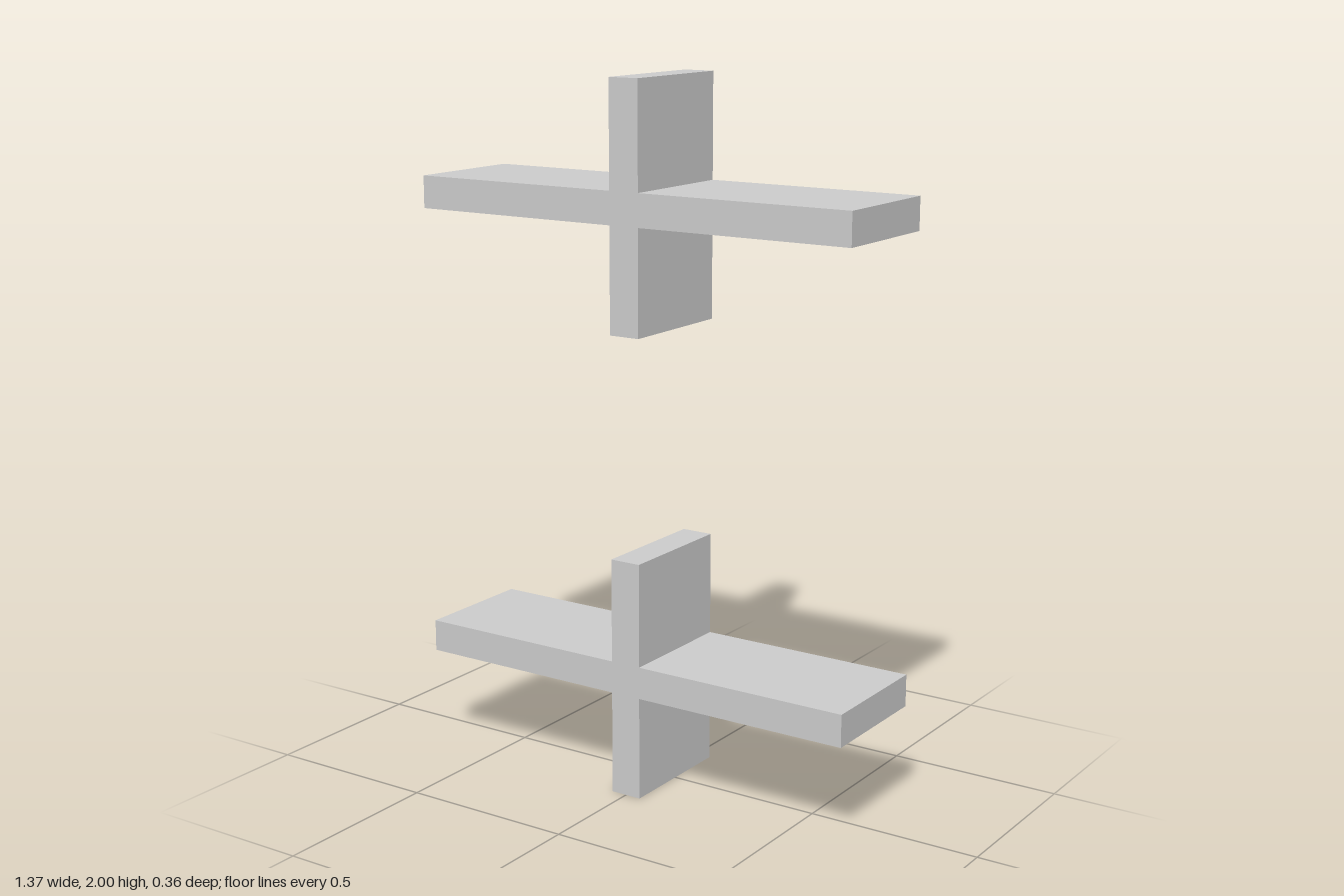
import * as THREE from 'three';

const HALF_WIDTH = 0.685;   // reach of the side arms
const HALF_HEIGHT = 0.343;  // reach of the upright arms
const HALF_THICK = 0.046;   // half thickness of every arm
const DEPTH = 0.364;

// Plus-shaped outline extruded front to back
function crossGeometry() {
  const w = HALF_WIDTH, h = HALF_HEIGHT, t = HALF_THICK;
  const outline = [
    [t, t], [t, h], [-t, h], [-t, t], [-w, t], [-w, -t],
    [-t, -t], [-t, -h], [t, -h], [t, -t], [w, -t], [w, t],
  ].map(([x, y]) => new THREE.Vector2(x, y));
  const geometry = new THREE.ExtrudeGeometry(new THREE.Shape(outline), { depth: DEPTH, bevelEnabled: false });
  return geometry.translate(0, 0, -DEPTH / 2);
}

export function createModel() {
  const model = new THREE.Group();
  model.name = 'crossPair';
  const material = new THREE.MeshStandardMaterial({ color: 0xcccccc, flatShading: true });
  const geometry = crossGeometry();

  // Two identical crosses, one above the other
  for (const [name, y] of [['lowerCross', HALF_HEIGHT], ['upperCross', 2 - HALF_HEIGHT]]) {
    const cross = new THREE.Mesh(geometry, material);
    cross.name = name;
    cross.position.y = y;
    model.add(cross);
  }
  return model;
}
